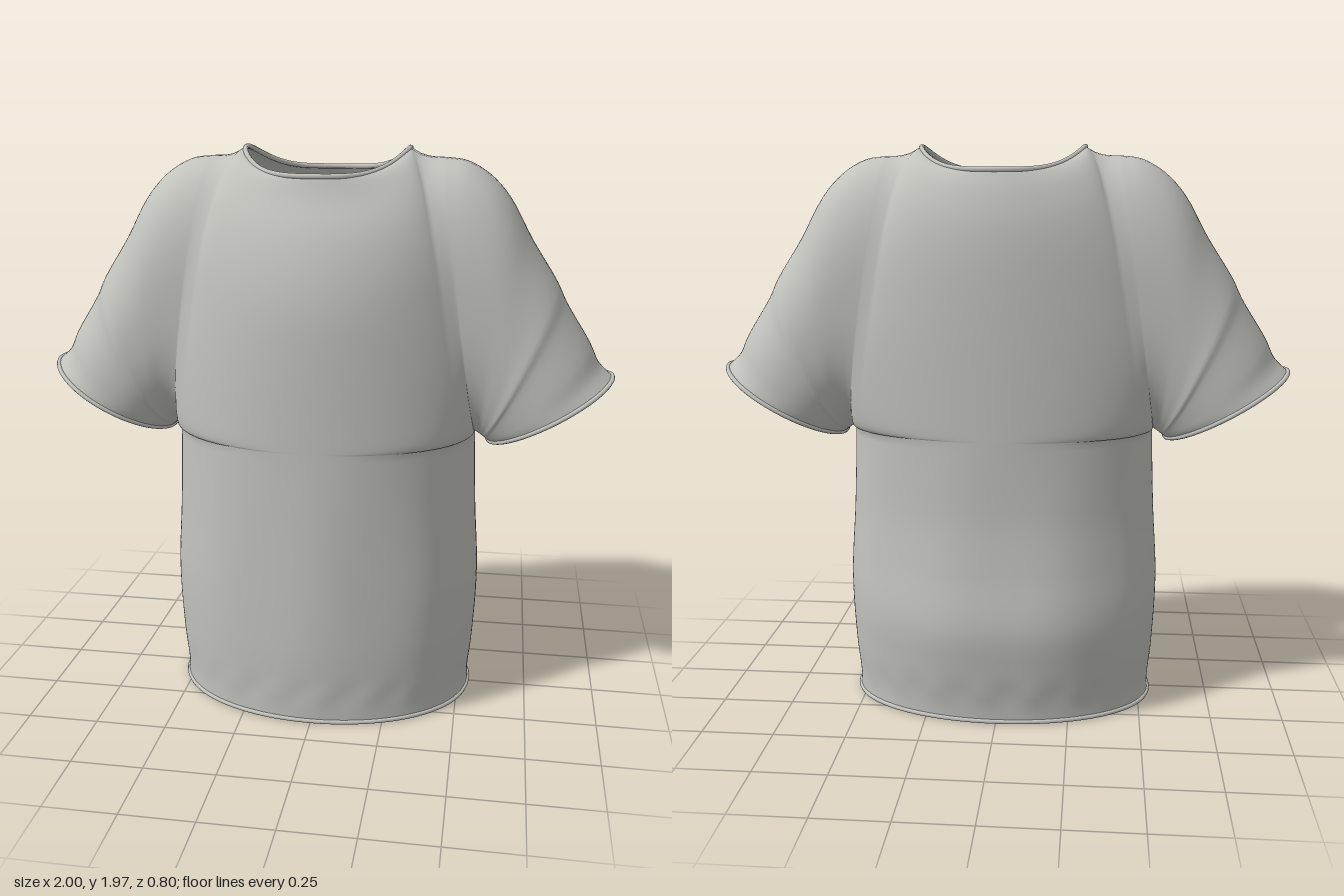
import * as THREE from 'three';
import { mergeVertices } from 'three/addons/utils/BufferGeometryUtils.js';

const ZC = -0.015;            // depth of the side seams
const ARMPIT_Y = 1.0;
const HEM_Y = 0.008;
const NU = 72, NV = 36, NLOW = 36, NSLEEVE = 36;
const lerp = THREE.MathUtils.lerp;
const smooth = THREE.MathUtils.smoothstep;
const spow = (c, e) => Math.sign(c) * Math.pow(Math.abs(c), e);

// Smooth one-dimensional profile through [y, value] pairs
function profile(pts) {
  return (y) => {
    let i = 0;
    while (i < pts.length - 2 && y > pts[i + 1][0]) i++;
    const slope = (k) => {
      const a = pts[Math.max(k - 1, 0)], b = pts[Math.min(k + 1, pts.length - 1)];
      return (b[1] - a[1]) / (b[0] - a[0]);
    };
    const [y0, v0] = pts[i], [y1, v1] = pts[i + 1];
    const h = y1 - y0, t = THREE.MathUtils.clamp((y - y0) / h, 0, 1);
    const t2 = t * t, t3 = t2 * t;
    return v0 * (2 * t3 - 3 * t2 + 1) + v1 * (3 * t2 - 2 * t3)
      + h * (slope(i) * (t3 - 2 * t2 + t) + slope(i + 1) * (t3 - t2));
  };
}
const halfWidth = profile([[0, 0.537], [0.06, 0.535], [0.2, 0.548], [0.45, 0.557], [0.7, 0.542], [0.85, 0.535], [1, 0.53]]);
const frontZ = profile([[0, 0.39], [0.06, 0.392], [0.3, 0.402], [1, 0.402], [1.4, 0.398], [1.55, 0.38], [1.7, 0.335], [1.82, 0.275], [1.885, 0.25]]);
const backZ = profile([[0, -0.357], [0.06, -0.362], [0.2, -0.385], [0.35, -0.4], [0.55, -0.375], [0.75, -0.358], [1.5, -0.357], [1.7, -0.345], [1.82, -0.315], [1.885, -0.285]]);

// Sleeve: rings fan out from the armpit, between a top line and an underarm line
const sleeveTop = new THREE.CatmullRomCurve3([
  [0.4, 1.935], [0.47, 1.925], [0.55, 1.88], [0.62, 1.805], [0.7, 1.665], [0.79, 1.525],
  [0.825, 1.455], [0.91, 1.32], [0.945, 1.25], [0.992, 1.205],
].map(([x, y]) => new THREE.Vector3(x, y, 0)), false, 'centripetal');
function sleevePoint(t, k) {
  const top = sleeveTop.getPoint(k);
  const bx = lerp(0.53, 0.575, k), by = lerp(ARMPIT_Y, 0.965, k);
  const e = lerp(0.8, 1, k);
  const c = spow(Math.cos(t), e), s = spow(Math.sin(t), e);
  const depth = lerp(0.24, 0.23, k) + 0.006 * Math.exp(-(((k - 0.58) / 0.05) ** 2));
  return new THREE.Vector3(
    (top.x + bx) / 2 + c * (top.x - bx) / 2,
    (top.y + by) / 2 + c * (top.y - by) / 2,
    ZC + s * depth);
}

// Neckline, b = 0 in the middle of the front or back, +-PI/2 at the shoulders
function neckPoint(b, side) {
  return new THREE.Vector3(0.28 * Math.sin(b), 1.885 + 0.08 * Math.sin(b) ** 4,
    ZC + (side > 0 ? 0.265 : -0.27) * Math.cos(b));
}
// Top edge of a panel: neckline and the two shoulder seams
function topEdge(s, side) {
  const u = Math.abs(s), split = 0.75;
  if (u <= split) return neckPoint(s / split * Math.PI / 2, side);
  const k = (u - split) / (1 - split);
  return new THREE.Vector3(Math.sign(s) * lerp(0.28, 0.4, k), 1.935 + 0.03 * (1 - k) ** 3, ZC);
}
// One row of a panel, from side to side
function rowPoint(s, end, midY, midZ, power) {
  const a = s * Math.PI / 2, c = Math.max(Math.cos(a), 0);
  return new THREE.Vector3(end.x * Math.sin(a), lerp(midY, end.y, Math.sin(a) ** 2),
    end.z + (midZ - end.z) * Math.pow(c, power));
}
function lowerPoint(s, v, side) {
  const y = lerp(HEM_Y, ARMPIT_Y, v);
  const p = rowPoint(s, new THREE.Vector3(halfWidth(y), y, ZC), y, side > 0 ? frontZ(y) : backZ(y), 0.9);
  // soft hanging folds, and small gathers over the hem
  const fade = (1 - s * s) * Math.sin(Math.PI * v);
  const gather = Math.exp(-(((y - 0.11) / 0.04) ** 2)) * (1 - s * s);
  p.z += side * (0.004 * fade * Math.sin(s * 13 + side) + 0.003 * gather * Math.sin(s * 31));
  return p;
}
function upperPoint(s, v, side) {
  const end = sleevePoint(side * Math.PI * (1 - v), 0);
  const midY = ARMPIT_Y + 0.885 * (1 - Math.cos(Math.PI * v)) / 2;
  const power = 0.9 + 1.1 * smooth(v, 0, 0.55);
  const at = (e, y) => rowPoint(s, e, y, side > 0 ? frontZ(y) : backZ(y), power);
  const p = at(end, midY);
  const last = at(sleevePoint(0, 0), 1.885);
  return p.add(topEdge(s, side).sub(last).multiplyScalar(v ** 3));
}

// Round rolled edge along a closed line
function edge(name, fn, radius, material) {
  const pts = [];
  for (let i = 0; i < 64; i++) pts.push(fn(i / 64 * Math.PI * 2));
  const curve = new THREE.CatmullRomCurve3(pts, true);
  const mesh = new THREE.Mesh(new THREE.TubeGeometry(curve, 128, radius, 8, true), material);
  mesh.name = name;
  return mesh;
}

export function createModel() {
  const group = new THREE.Group();
  group.name = 'shortSleevedShirt';
  const cloth = new THREE.MeshStandardMaterial({ color: 0xc2c3bd, side: THREE.DoubleSide });
  cloth.name = 'greyCloth';

  // All panels share one set of points, so the shading runs on across the seams
  const positions = [], index = [], parts = [];
  function grid(name, fn, nu, nv, flip) {
    const base = positions.length / 3, start = index.length;
    for (let j = 0; j <= nv; j++)
      for (let i = 0; i <= nu; i++) positions.push(...fn(i / nu, j / nv).toArray());
    for (let j = 0; j < nv; j++)
      for (let i = 0; i < nu; i++) {
        const a = base + j * (nu + 1) + i, b = a + 1, d = a + nu + 1, c = d + 1;
        if (flip) index.push(a, c, b, a, d, c);
        else index.push(a, b, c, a, c, d);
      }
    parts.push({ name, start, end: index.length });
  }
  for (const [side, label] of [[1, 'front'], [-1, 'back']]) {
    grid(label + 'LowerPanel', (u, v) => lowerPoint(u * 2 - 1, v, side), NU, NLOW, side < 0);
    grid(label + 'UpperPanel', (u, v) => upperPoint(u * 2 - 1, v, side), NU, NV, side < 0);
  }
  for (const [m, label] of [[1, 'left'], [-1, 'right']]) {
    const flipX = new THREE.Vector3(m, 1, 1);
    grid(label + 'Sleeve', (u, v) => sleevePoint(u * Math.PI * 2, v).multiply(flipX), NV * 2, NSLEEVE, m < 0);
    // cuff
    group.add(edge(label + 'Cuff', (t) => sleevePoint(t, 1).multiply(flipX), 0.008, cloth));
  }
  let whole = new THREE.BufferGeometry();
  whole.setAttribute('position', new THREE.Float32BufferAttribute(positions, 3));
  whole.setIndex(index);
  whole = mergeVertices(whole, 1e-4);
  whole.computeVertexNormals();
  const merged = Array.from(whole.index.array);
  for (const { name, start, end } of parts) {
    const geometry = new THREE.BufferGeometry();
    geometry.setAttribute('position', whole.attributes.position);
    geometry.setAttribute('normal', whole.attributes.normal);
    geometry.setIndex(merged.slice(start, end));
    const mesh = new THREE.Mesh(geometry, cloth);
    mesh.name = name;
    group.add(mesh);
  }

  // Rolled hem and neckline
  const around = (t) => (Math.cos(t) >= 0 ? [t > Math.PI ? t - 2 * Math.PI : t, 1] : [Math.PI - t, -1]);
  group.add(edge('hem', (t) => {
    const [a, side] = around(t);
    return lowerPoint(a / (Math.PI / 2), 0, side);
  }, 0.008, cloth));
  group.add(edge('neckline', (t) => neckPoint(...around(t)), 0.009, cloth));
  return group;
}
